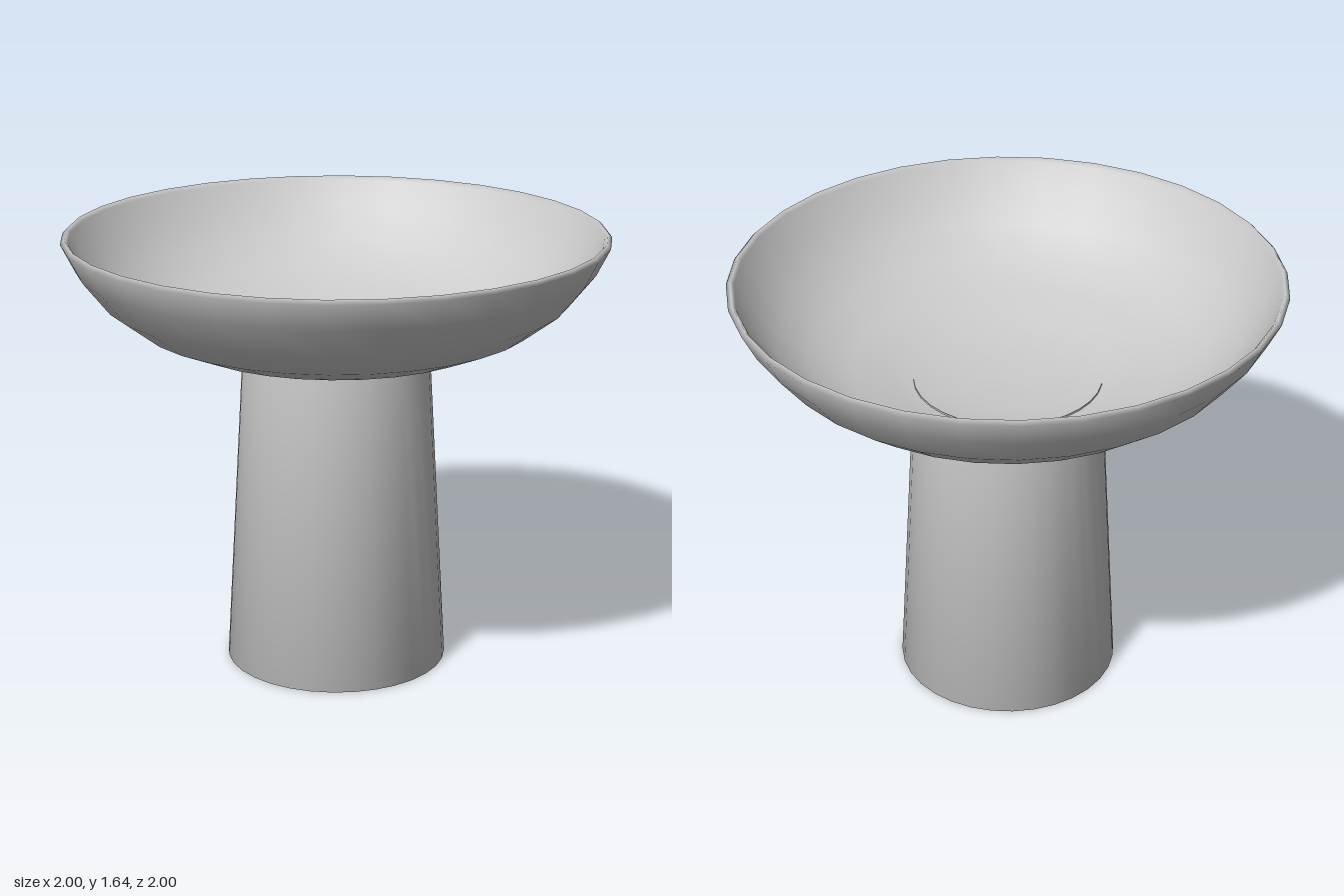
import * as THREE from 'three';

const SEGMENTS = 32;

// Revolves [radius, height] pairs around the y axis
function turned(name, profile, material) {
  const points = profile.map(([r, y]) => new THREE.Vector2(r, y));
  const mesh = new THREE.Mesh(new THREE.LatheGeometry(points, SEGMENTS), material);
  mesh.name = name;
  return mesh;
}

export function createModel() {
  const group = new THREE.Group();
  group.name = 'pedestalBowl';
  const material = new THREE.MeshStandardMaterial({ color: 0xcccccc });

  // Tapered column with a closed, softly shaded foot
  group.add(turned('pedestal', [
    [0, 0], [0.415, 0], [0.345, 1.23],
  ], material));

  // Bowl: underside, thin rim, inner wall and a shallow round well
  group.add(turned('bowl', [
    [0.34, 1.23], [0.44, 1.23], [0.58, 1.252], [0.73, 1.315],
    [0.855, 1.41], [0.95, 1.53], [1.0, 1.63],
    [0.985, 1.645], [0.972, 1.63],
    [0.925, 1.54], [0.835, 1.43], [0.715, 1.34], [0.57, 1.28],
    [0.43, 1.255], [0.36, 1.225], [0.18, 1.205], [0, 1.2],
  ], material));

  return group;
}
